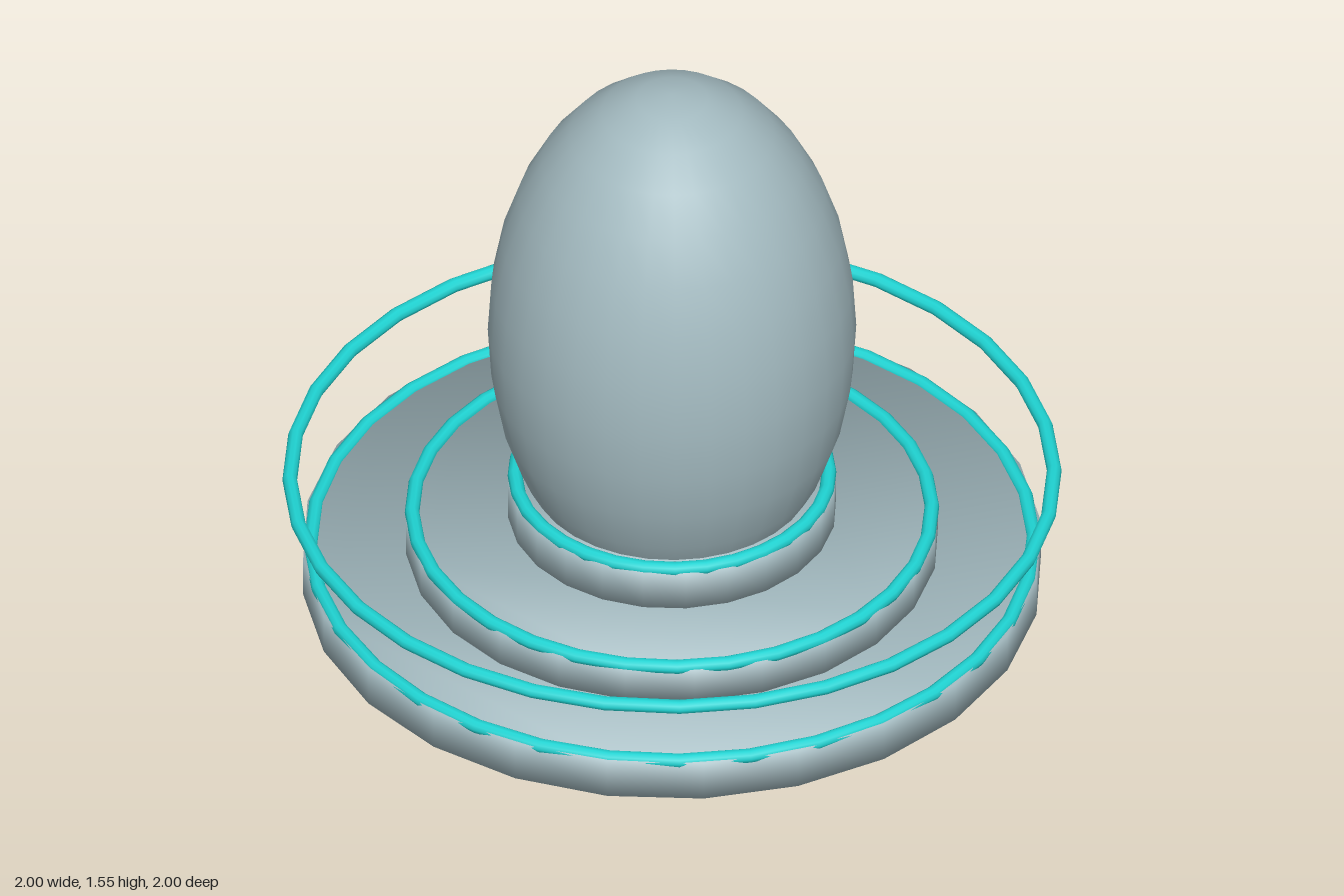
import * as THREE from 'three';

const stone = new THREE.MeshStandardMaterial({ color: 0xa3bac0 });
stone.name = 'paleStone';
const teal = new THREE.MeshStandardMaterial({ color: 0x1fd3d2 });
teal.name = 'brightTeal';

// Softly shaded disc: rim normals lean 45 degrees between wall and cap
function makeDisc(name, radius, bottom, top, sides = 24) {
  const points = [];
  for (let i = 0; i < sides; i++) {
    const a = (i / sides) * Math.PI * 2;
    points.push(new THREE.Vector2(Math.cos(a) * radius, Math.sin(a) * radius));
  }
  const height = top - bottom;
  const geometry = new THREE.ExtrudeGeometry(new THREE.Shape(points), { depth: height, bevelEnabled: false });
  geometry.rotateX(-Math.PI / 2);
  const p = geometry.attributes.position;
  const n = new THREE.Vector3();
  for (let i = 0; i < p.count; i++) {
    n.set(p.getX(i) / radius, p.getY(i) > height / 2 ? 1 : -1, p.getZ(i) / radius).normalize();
    geometry.attributes.normal.setXYZ(i, n.x, n.y, n.z);
  }
  const mesh = new THREE.Mesh(geometry, stone);
  mesh.name = name;
  mesh.position.y = bottom;
  return mesh;
}

// Horizontal ring
function makeRing(name, radius, y, tube = 0.019) {
  const geometry = new THREE.TorusGeometry(radius, tube, 10, 32);
  geometry.rotateX(-Math.PI / 2);
  const mesh = new THREE.Mesh(geometry, teal);
  mesh.name = name;
  mesh.position.y = y;
  return mesh;
}

export function createModel() {
  const model = new THREE.Group();
  model.name = 'eggOnPedestal';

  // Stepped pedestal, each tier with a ring on its rim
  const tiers = [
    ['lower', 0.95, 0, 0.113, 0.928, 0.108],
    ['middle', 0.685, 0.11, 0.213, 0.667, 0.212],
    ['upper', 0.422, 0.21, 0.325, 0.403, 0.327],
  ];
  for (const [name, radius, bottom, top, ringRadius, ringY] of tiers) {
    model.add(makeDisc(name + 'Tier', radius, bottom, top));
    model.add(makeRing(name + 'TierRing', ringRadius, ringY));
  }

  // Large ring hovering around the pedestal
  model.add(makeRing('floatingRing', 0.981, 0.322));

  // Tall egg standing in the top tier
  const eggGeometry = new THREE.SphereGeometry(1, 32, 16);
  eggGeometry.scale(0.473, 0.75, 0.473);
  const egg = new THREE.Mesh(eggGeometry, stone);
  egg.name = 'egg';
  egg.position.y = 0.8;
  model.add(egg);

  return model;
}
